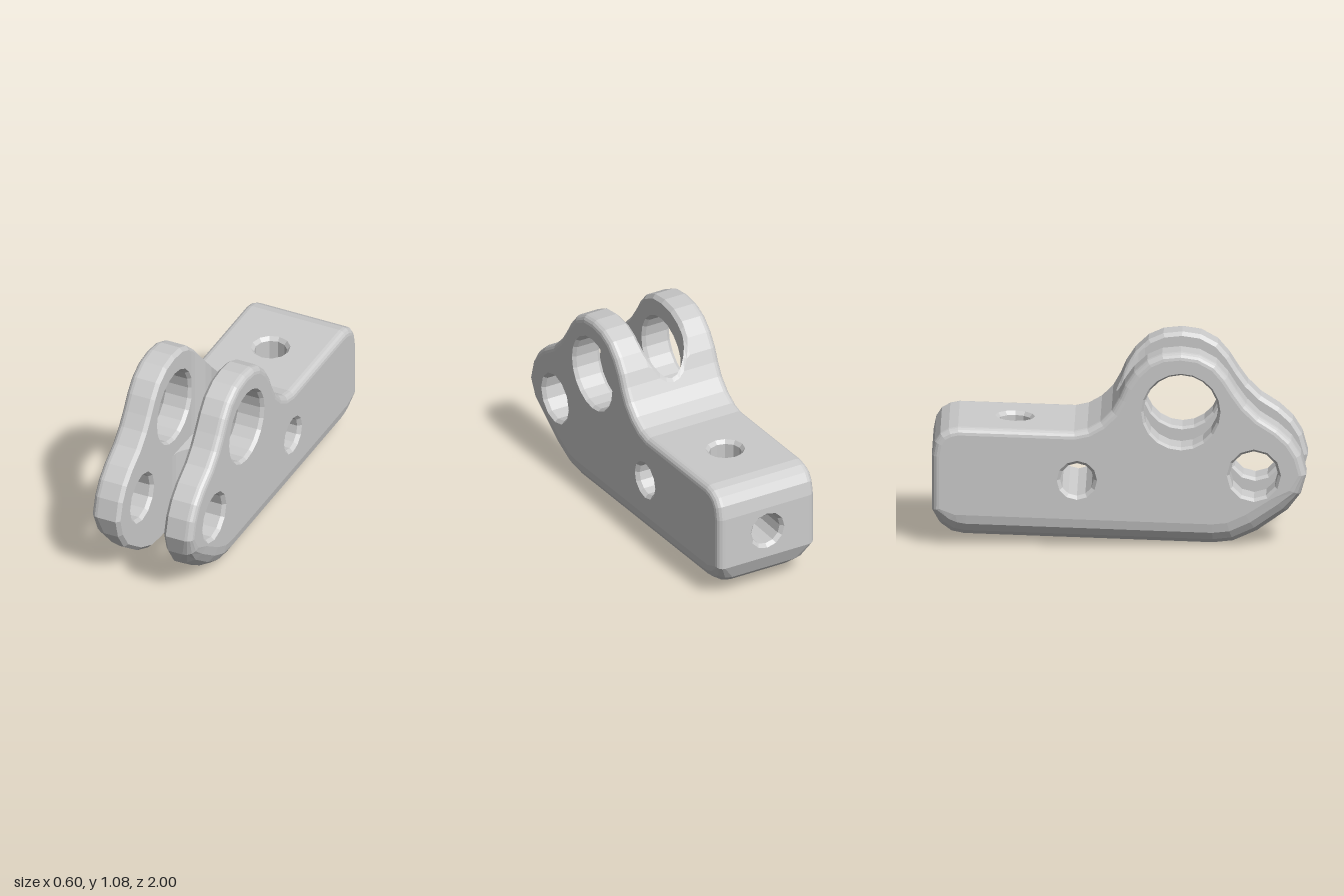
import * as THREE from 'three';

const HALF = 0.30, SLOT = 0.13, EDGE = 0.15; // outer face, slot wall, start of slot chamfer
const ARCH_TOP = 0.13, ARCH_LOW = 0.355, STEP_Y = 0.45; // slot end centres and step height

// Side outline as [z, y]: underside, back end, top, lug, nose
const outline = [
  [0.5, 0], [-0.83, 0.045], [-0.9, 0.06], [-0.96, 0.11], [-1, 0.2], [-1, 0.5], [-0.985, 0.575],
  [-0.955, 0.62], [-0.91, 0.645], [-0.86, 0.655], [-0.24, 0.635], [-0.17, 0.65], [-0.1, 0.69],
  [-0.04, 0.75], [0, 0.82], [0.03, 0.89], [0.08, 0.965], [0.15, 1.03], [0.23, 1.065], [0.33, 1.075],
  [0.43, 1.06], [0.52, 1.01], [0.58, 0.94], [0.63, 0.86], [0.68, 0.79], [0.75, 0.72], [0.85, 0.655],
  [0.92, 0.59], [0.97, 0.51], [1, 0.4], [0.97, 0.29], [0.9, 0.185], [0.74, 0.07], [0.61, 0.012],
];

const material = new THREE.MeshStandardMaterial({
  color: 0xcccccc, flatShading: true, side: THREE.DoubleSide,
});

function addMesh(group, name, geometry) {
  geometry.computeVertexNormals();
  const mesh = new THREE.Mesh(geometry, material);
  mesh.name = name;
  group.add(mesh);
}

// Surface through rows of [x, y, z] points
function loft(rows, closed = false) {
  const n = rows[0].length, index = [];
  for (let i = 0; i < rows.length - 1; i++) {
    for (let j = 0; j < (closed ? n : n - 1); j++) {
      const k = (j + 1) % n;
      const a = i * n + j, b = i * n + k, c = b + n, d = a + n;
      index.push(a, b, c, a, c, d);
    }
  }
  const geometry = new THREE.BufferGeometry();
  geometry.setAttribute('position', new THREE.Float32BufferAttribute(rows.flat(2), 3));
  geometry.setIndex(index);
  return geometry;
}

function circle(u, v, r, n) {
  return Array.from({ length: n }, (_, k) => {
    const t = (k / n) * Math.PI * 2;
    return [u + r * Math.cos(t), v + r * Math.sin(t)];
  });
}

// Flat face with holes, each corner carried into space by place(u, v)
function panel(points, holes, place) {
  const vectors = (list) => list.map(([u, v]) => new THREE.Vector2(u, v));
  const shape = new THREE.Shape(vectors(points));
  for (const hole of holes) shape.holes.push(new THREE.Path(vectors(hole)));
  const geometry = new THREE.ShapeGeometry(shape);
  const p = geometry.attributes.position;
  for (let i = 0; i < p.count; i++) p.setXYZ(i, ...place(p.getX(i), p.getY(i)));
  return geometry;
}

// Straight-line height between outline points a and b
function heightAt(z, a, b) {
  return THREE.MathUtils.mapLinear(z, outline[a][0], outline[b][0], outline[a][1], outline[b][1]);
}
const bottomY = (z) => heightAt(z, 0, 1);
function topY(z) {
  let i = 9;
  while (i < 18 && outline[i + 1][0] < z) i++;
  return heightAt(z, i, i + 1);
}

// Outward direction and edge radius at each outline point (wide along the underside)
const rim = outline.map(([z, y], i) => {
  const n = outline.length;
  const edgeNormal = (p, q) => new THREE.Vector2(p[1] - q[1], q[0] - p[0]).normalize();
  const normal = edgeNormal(outline[(i + n - 1) % n], [z, y])
    .add(edgeNormal([z, y], outline[(i + 1) % n])).normalize();
  const radius = 0.04 + 0.09 * THREE.MathUtils.smoothstep(-normal.y, 0.2, 0.8);
  return { z, y, normal, radius };
});
const inset = (p, d) => [p.z - p.normal.x * d, p.y - p.normal.y * d];

// Holes across the body
const lugHole = { z: 0.33, y: 0.75, r: 0.2, c: 0.012, n: 20 };
const noseHole = { z: 0.72, y: 0.4, r: 0.13, c: 0.015, n: 12 };
const crossHole = { z: -0.225, y: 0.37, r: 0.09, c: 0.018, n: 12 };
const ringX = (h, x, r) => circle(h.z, h.y, r, h.n).map(([z, y]) => [x, y, z]);

function createCheek(name) {
  const cheek = new THREE.Group();
  cheek.name = name;
  const row = (size) => rim.map((p) => {
    const [x, d] = size(p);
    const [z, y] = inset(p, d);
    return [x, y, z];
  });
  const rows = [row(() => [SLOT, 0.02]), row(() => [EDGE, 0])];
  const steps = 4;
  for (let k = 0; k <= steps; k++) {
    const t = (k / steps) * Math.PI / 2;
    rows.push(row((p) => [HALF - p.radius * (1 - Math.sin(t)), p.radius * (1 - Math.cos(t))]));
  }
  addMesh(cheek, 'cheekRim', loft(rows, true));

  // Outer and inner faces
  const holes = [lugHole, noseHole, crossHole].map((h) => circle(-h.z, h.y, h.r + h.c, h.n));
  const flat = (size) => rim.map((p) => inset(p, size(p))).map(([z, y]) => [-z, y]);
  addMesh(cheek, 'outerFace', panel(flat((p) => p.radius), holes, (u, v) => [HALF, v, -u]));
  const inner = panel(flat(() => 0.02), holes, (u, v) => [SLOT, v, -u]);
  inner.index.array.reverse();
  addMesh(cheek, 'innerFace', inner);

  // Chamfered pin holes
  for (const h of [lugHole, noseHole]) {
    addMesh(cheek, 'pinHole', loft([
      ringX(h, SLOT, h.r + h.c), ringX(h, SLOT + 0.02, h.r),
      ringX(h, HALF - 0.02, h.r), ringX(h, HALF, h.r + h.c),
    ], true));
  }
  return cheek;
}

function createCore() {
  const core = new THREE.Group();
  core.name = 'core';
  const angles = Array.from({ length: 13 }, (_, k) => Math.PI / 2 - (k / 12) * Math.PI);
  const arch = (centre, r, y) => angles.map((t) => {
    const z = centre - r * Math.cos(t);
    return [r * Math.sin(t), y(z), z];
  });

  // Rounded back corners
  const strip = (from, to) => outline.slice(from, to + 1)
    .map(([z, y]) => [[EDGE, y, z], [-EDGE, y, z]]);
  addMesh(core, 'lowerBackCorner', loft(strip(1, 4)));
  addMesh(core, 'upperBackCorner', loft(strip(5, 9)));

  // Saddle rising from the shank to the slot
  addMesh(core, 'saddle', loft(outline.slice(10, 18).map(([z]) =>
    arch(ARCH_TOP, EDGE, topY).map(([x, , end]) => {
      const s = Math.min(z, end);
      return [x, topY(s), s];
    }))));

  // Stepped slot end with chamfered rims
  addMesh(core, 'slotEnd', loft([
    arch(ARCH_TOP, EDGE, topY),
    arch(ARCH_TOP, SLOT, (z) => topY(z) - 0.02),
    arch(ARCH_TOP, SLOT, () => STEP_Y),
    arch(ARCH_LOW, SLOT, () => STEP_Y),
    arch(ARCH_LOW, SLOT, (z) => bottomY(z) + 0.02),
    arch(ARCH_LOW, EDGE, bottomY),
  ]));

  // Flat faces of the shank
  const n = 12, r = 0.088, wide = 0.106, holeZ = -0.56, holeY = 0.36;
  const rect = (a, b) => [[-EDGE, a], [EDGE, a], [EDGE, b], [-EDGE, b]];
  addMesh(core, 'shankTop', panel(rect(0.24, 0.86), [circle(0, -holeZ, wide, n)],
    (u, v) => [u, topY(-v), -v]));
  addMesh(core, 'shankBack', panel(rect(0.2, 0.5), [circle(0, holeY, wide, n)],
    (u, v) => [-u, v, -1]));
  const underside = [[-EDGE, -0.83], [EDGE, -0.83],
    ...arch(ARCH_LOW, EDGE, bottomY).map(([x, , z]) => [x, z])];
  addMesh(core, 'shankUnderside', panel(underside, [circle(0, holeZ, wide, n)],
    (u, v) => [u, bottomY(v), v]));

  // Holes through the shank
  const ringY = (y, radius) => circle(0, holeZ, radius, n).map(([x, z]) => [x, y(z), z]);
  addMesh(core, 'uprightHole', loft([
    ringY(bottomY, wide), ringY((z) => bottomY(z) + 0.02, r),
    ringY((z) => topY(z) - 0.02, r), ringY(topY, wide),
  ], true));
  const ringZ = (z, radius) => circle(0, holeY, radius, n).map(([x, y]) => [x, y, z]);
  addMesh(core, 'backHole', loft([ringZ(-0.62, r), ringZ(-0.98, r), ringZ(-1, wide)], true));
  const h = crossHole;
  addMesh(core, 'crossHole', loft([
    ringX(h, -HALF, h.r + h.c), ringX(h, 0.02 - HALF, h.r),
    ringX(h, HALF - 0.02, h.r), ringX(h, HALF, h.r + h.c),
  ], true));
  return core;
}

export function createModel() {
  const model = new THREE.Group();
  model.name = 'clevisBracket';
  const right = createCheek('rightCheek');
  right.scale.x = -1;
  model.add(createCheek('leftCheek'), right, createCore());
  return model;
}
